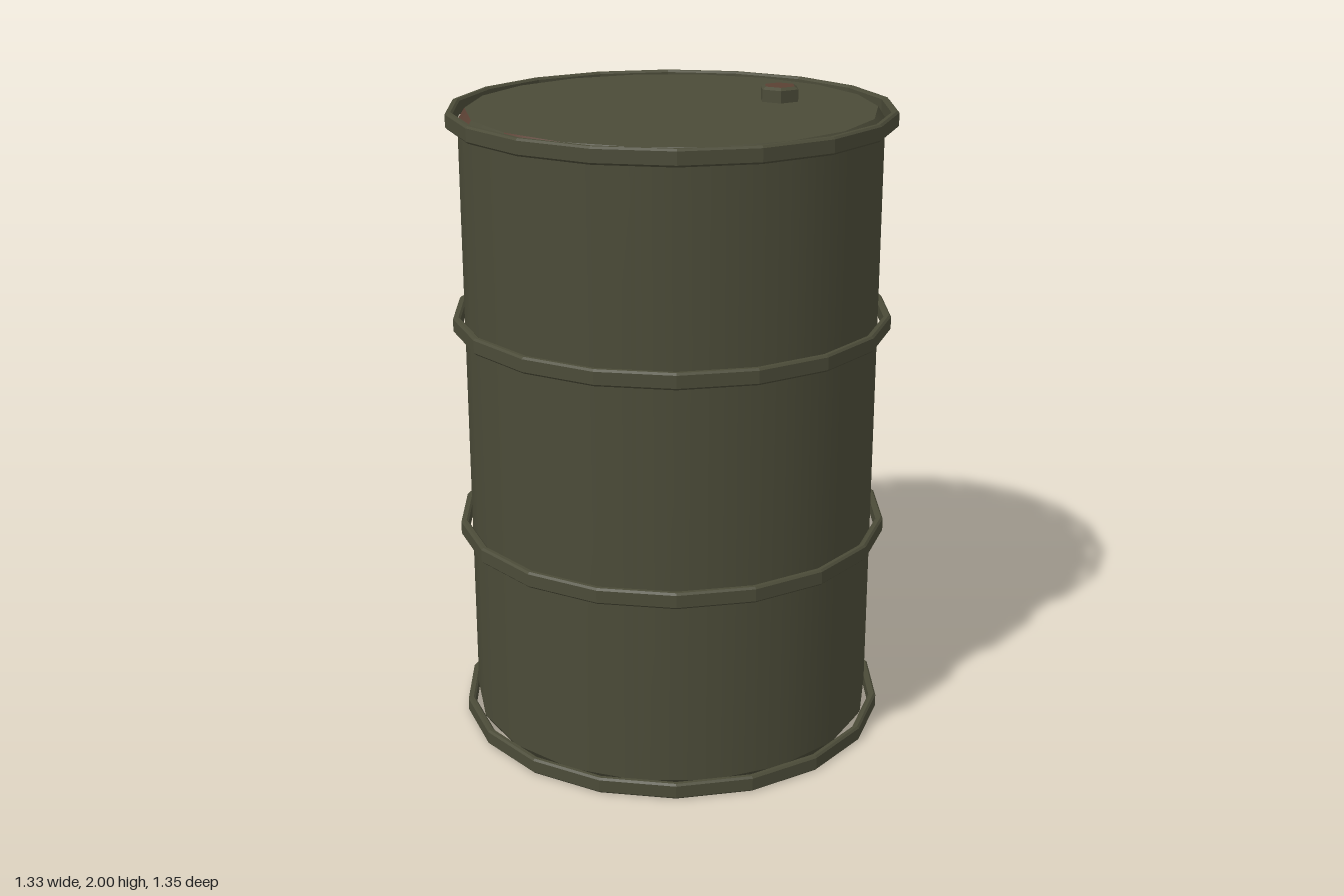
import * as THREE from 'three';

const SIDES = 18;

export function createModel() {
  const model = new THREE.Group();
  const olive = new THREE.MeshStandardMaterial({ color: 0x4b4b38 });
  olive.name = 'olive paint';
  const rust = new THREE.MeshStandardMaterial({ color: 0x5a4033 });
  rust.name = 'rust';

  const add = (name, geometry, material, x = 0, y = 0, z = 0) => {
    const mesh = new THREE.Mesh(geometry, material);
    mesh.name = name;
    mesh.position.set(x, y, z);
    model.add(mesh);
    return mesh;
  };

  // Open band of the drum wall; the listed columns are rusty
  const addBand = (name, rBottom, yBottom, rTop, yTop, rusty) => {
    const geometry = new THREE.CylinderGeometry(
      rTop, rBottom, yTop - yBottom, SIDES, 1, true, Math.PI / 2);
    geometry.clearGroups();
    for (let i = 0; i < SIDES; i++) {
      geometry.addGroup(i * 6, 6, rusty.includes(i) ? 1 : 0);
    }
    add(name, geometry, [olive, rust], 0, (yTop + yBottom) / 2);
  };

  // Drum wall with chamfered ends
  addBand('bottomChamfer', 0.62, 0.01, 0.64, 0.04, [1, 3]);
  addBand('drumWall', 0.64, 0.04, 0.64, 1.92, [1, 2]);
  addBand('topChamfer', 0.64, 1.92, 0.617, 1.955, [3, 5, 9, 11]);

  // Flat end discs
  add('lid', new THREE.CircleGeometry(0.617, SIDES).rotateX(-Math.PI / 2), olive, 0, 1.955);
  add('base', new THREE.CircleGeometry(0.62, SIDES).rotateX(Math.PI / 2), olive, 0, 0.01);

  // Hoops: faceted bands with a chamfered section, standing just off the wall
  const inner = 0.652, outer = 0.675, half = 0.025, c = 0.006;
  const section = [
    [inner + c, -half], [outer - c, -half], [outer, -half + c], [outer, half - c],
    [outer - c, half], [inner + c, half], [inner, half - c], [inner, -half + c],
    [inner + c, -half],
  ].map(([r, y]) => new THREE.Vector2(r, y));
  const hoop = new THREE.LatheGeometry(section, SIDES).toNonIndexed();
  hoop.computeVertexNormals();
  [0.025, 0.65, 1.315, 1.937].forEach((y, i) => add('hoop' + (i + 1), hoop, olive, 0, y));

  // Hexagonal filler plug with a rusty top
  const faceted = (geometry) => {
    const flat = geometry.toNonIndexed();
    flat.computeVertexNormals();
    return flat;
  };
  const px = 0.33, pz = -0.113;
  add('plugBody', faceted(new THREE.CylinderGeometry(0.063, 0.063, 0.042, 6, 1, true)),
    olive, px, 1.971, pz);
  add('plugBevel', faceted(new THREE.CylinderGeometry(0.05, 0.063, 0.008, 6, 1, true)),
    olive, px, 1.996, pz);
  add('plugTop', new THREE.CircleGeometry(0.05, 6, Math.PI / 2).rotateX(-Math.PI / 2),
    rust, px, 2.0, pz);

  return model;
}
